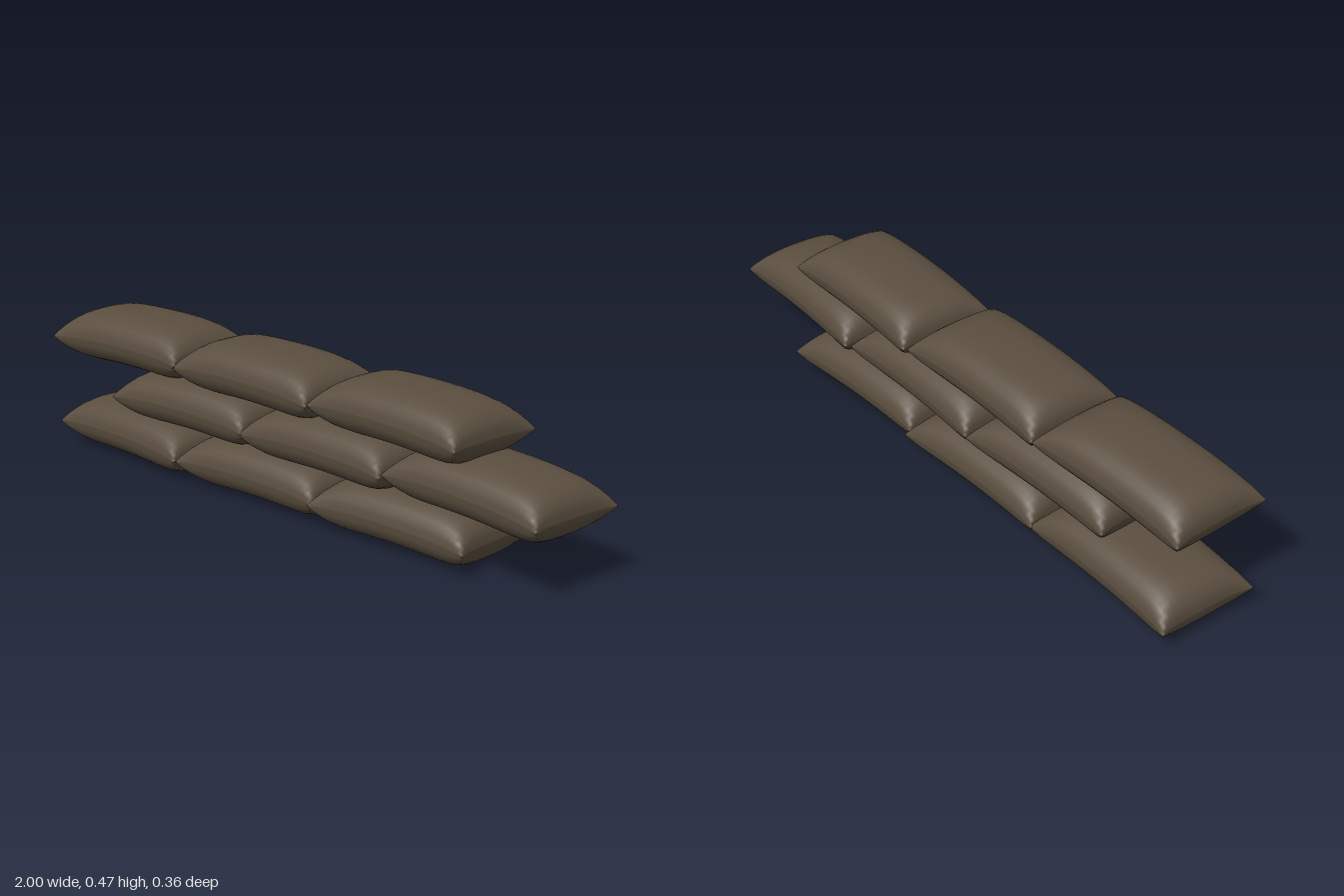
import * as THREE from 'three';

const HALF_LENGTH = 0.285, HALF_DEPTH = 0.162, HALF_HEIGHT = 0.083, DROOP = 0.014;
const SEG_X = 24, SEG_Z = 18;

// Sample positions in -1..1, packed closer towards the seams.
const spread = (i, n) => Math.sin((i / n - 0.5) * Math.PI);

// Fullness of the stuffing: 1 in the middle, 0 at the seam.
const swell = (t, p) => Math.pow(Math.max(0, 1 - Math.abs(t) ** p), 0.45);

// One half of a stuffed bag; side is +1 for the top and -1 for the bottom.
function bagHalf(side) {
  const positions = [], index = [];
  for (let i = 0; i <= SEG_X; i++) {
    const u = spread(i, SEG_X);
    for (let j = 0; j <= SEG_Z; j++) {
      const v = spread(j, SEG_Z);
      // Sides pulled inwards between the corners, ends drooping a little.
      const x = HALF_LENGTH * u * (1 - 0.055 * (1 - v ** 4));
      const z = HALF_DEPTH * v * (1 - 0.085 * (1 - u ** 6));
      const y = side * HALF_HEIGHT * swell(u, 6) * swell(v, 3) - DROOP * u * u;
      positions.push(x, y, z);
    }
  }
  const row = SEG_Z + 1;
  for (let i = 0; i < SEG_X; i++) {
    for (let j = 0; j < SEG_Z; j++) {
      const a = i * row + j, b = a + 1, c = a + row, d = c + 1;
      if (side > 0) index.push(a, b, c, b, d, c);
      else index.push(a, c, b, b, c, d);
    }
  }
  const geometry = new THREE.BufferGeometry();
  geometry.setAttribute('position', new THREE.Float32BufferAttribute(positions, 3));
  geometry.setIndex(index);
  geometry.computeVertexNormals();
  return geometry;
}

export function createModel() {
  const group = new THREE.Group();
  group.name = 'sandbagWall';
  const burlap = new THREE.MeshStandardMaterial({ color: 0x5a4e3f });
  burlap.name = 'dark burlap';
  const top = bagHalf(1), bottom = bagHalf(-1);

  // Courses from the ground up: centre height, first bag, yaw and roll of each bag.
  const courses = [
    { y: 0.09, x: -0.71, z: -0.006, yaw: [-0.035, 0.02, 0.03], roll: [-0.01, 0.0, -0.012] },
    { y: 0.24, x: -0.425, z: 0.002, yaw: [0.02, -0.02, -0.055], roll: [0.0, 0.005, -0.025] },
    { y: 0.385, x: -0.71, z: 0.004, yaw: [0.01, -0.015, -0.04], roll: [0.015, 0.0, -0.01] },
  ];
  courses.forEach((course, c) => {
    for (let k = 0; k < 3; k++) {
      const bag = new THREE.Group();
      bag.name = `sandbag${c * 3 + k + 1}`;
      for (const [name, geometry] of [['bagTop', top], ['bagBottom', bottom]]) {
        const mesh = new THREE.Mesh(geometry, burlap);
        mesh.name = name;
        bag.add(mesh);
      }
      bag.position.set(course.x + k * 0.565, course.y, course.z);
      bag.rotation.set(0, course.yaw[k], course.roll[k]);
      group.add(bag);
    }
  });
  return group;
}
